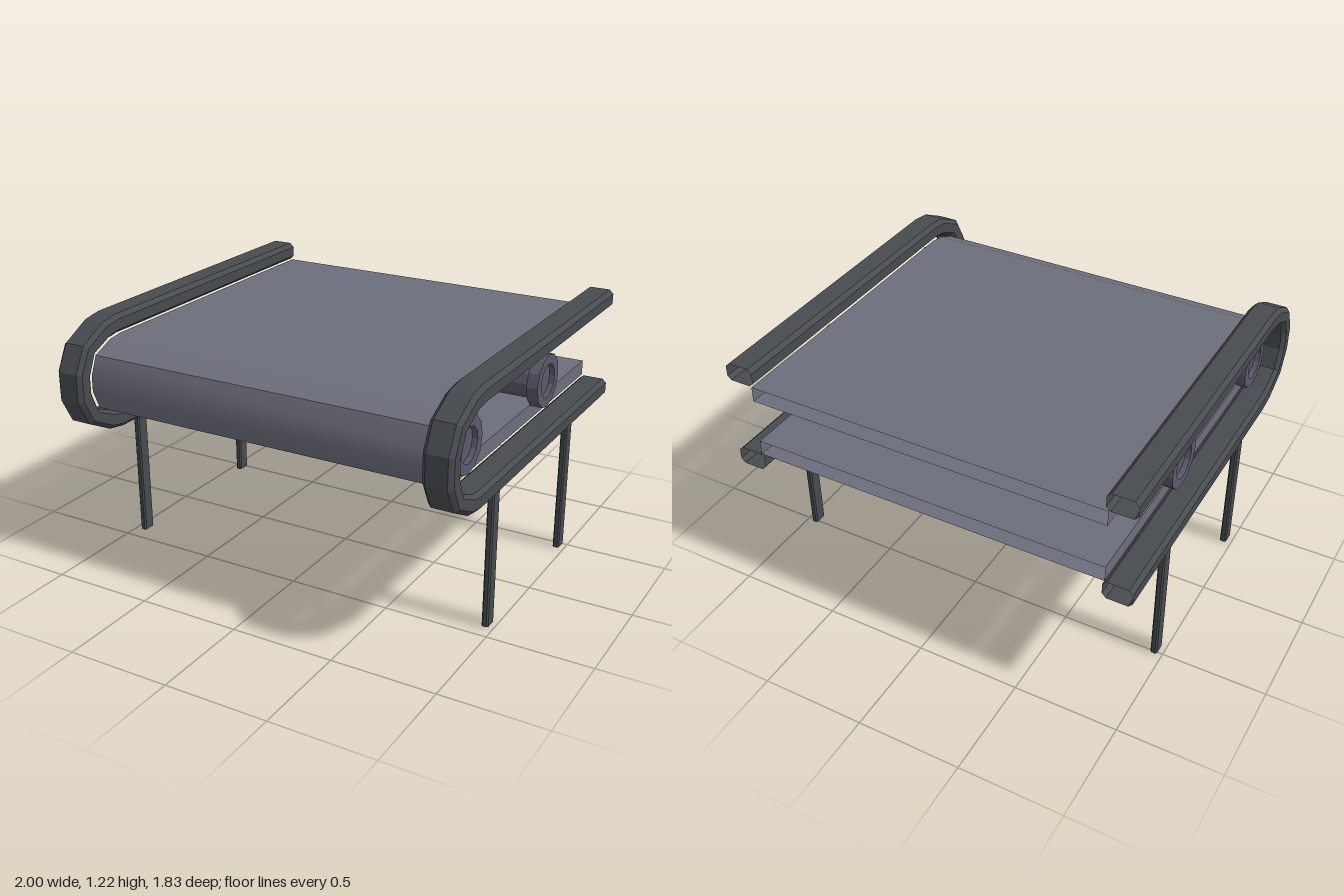
import * as THREE from 'three';
import { toCreasedNormals } from 'three/addons/utils/BufferGeometryUtils.js';

const MID = 0.944; // height of the conveyor's centre line
const BACK = -0.914;

const material = (color, flatShading = false) =>
  new THREE.MeshStandardMaterial({ color, flatShading, side: THREE.DoubleSide });

// Mirror an upper half outline of [z, y] points about the centre line to get a U path
function uPath(half) {
  const upper = [[BACK, half[0][1]], ...half];
  return [...upper, ...upper.map(([z, y]) => [z, 2 * MID - y]).reverse()];
}

// Sweep a closed section of [x, v] between two U paths (v = 0 inner, 1 outer), ends left open
function sweep(innerPath, outerPath, section) {
  const n = section.length, pos = [], index = [];
  outerPath.forEach(([oz, oy], i) => {
    const [iz, iy] = innerPath[i];
    section.forEach(([x, v]) => pos.push(x, iy + (oy - iy) * v, iz + (oz - iz) * v));
  });
  for (let i = 0; i < outerPath.length - 1; i++) {
    for (let j = 0; j < n; j++) {
      const a = i * n + j, b = i * n + (j + 1) % n;
      index.push(a, a + n, b, b, a + n, b + n);
    }
  }
  const g = new THREE.BufferGeometry();
  g.setAttribute('position', new THREE.Float32BufferAttribute(pos, 3));
  g.setIndex(index);
  return toCreasedNormals(g, 0.7);
}

export function createModel() {
  const model = new THREE.Group();
  const frame = material(0x474b4f, true);
  const rubber = material(0x6c6e7b);
  const metal = material(0x585a69, true);

  const add = (name, geometry, mat, x = 0, y = 0, z = 0, parent = model) => {
    const mesh = new THREE.Mesh(geometry, mat);
    mesh.name = name;
    mesh.position.set(x, y, z);
    parent.add(mesh);
    return mesh;
  };

  // Hollow belt wrapping round the front
  const beltOuter = uPath([[0.6, 1.13], [0.675, 1.12], [0.782, 1.073], [0.82, 0.982]]);
  const beltInner = uPath([[0.6, 1.056], [0.655, 1.05], [0.73, 1.018], [0.755, 0.966]]);
  add('belt', sweep(beltInner, beltOuter,
    [[-0.87, 0], [-0.87, 1], [0.87, 1], [0.87, 0]].reverse()), rubber);

  // Chamfered side rails
  const railOuter = uPath([[0.616, 1.223], [0.709, 1.208], [0.851, 1.134], [0.914, 1.014]]);
  const railInner = uPath([[0.616, 1.134], [0.678, 1.125], [0.787, 1.078], [0.826, 0.984]]);
  const c = 0.02, w = 0.07;
  const octagon = [[w, 0.2], [w, 0.77], [w - c, 1], [c - w, 1],
    [-w, 0.77], [-w, 0.2], [c - w, 0], [w - c, 0]];
  const rail = sweep(railInner, railOuter, octagon);

  // Legs with bevelled corners
  const lx = 0.016, lz = 0.034, b = 0.007;
  const legShape = new THREE.Shape([[lx, lz - b], [lx - b, lz], [b - lx, lz], [-lx, lz - b],
    [-lx, b - lz], [b - lx, -lz], [lx - b, -lz], [lx, b - lz]].map(p => new THREE.Vector2(...p)));
  const leg = new THREE.ExtrudeGeometry(legShape, { depth: 0.672, bevelEnabled: false });
  leg.rotateX(-Math.PI / 2);

  for (const [side, s] of [['left', 1], ['right', -1]]) {
    add(side + 'Rail', rail, frame, s * 0.93);
    add(side + 'FrontLeg', leg, frame, s * 0.958, 0, 0.391);
    add(side + 'BackLeg', leg, frame, s * 0.958, 0, -0.479);
  }

  // Rollers: thin barrel, wide end flanges with a recessed face
  const half = [[0, 0.905], [0.083, 0.905], [0.083, 0.93], [0.13, 0.93], [0.13, 0.875], [0.095, 0.875]];
  const profile = [...half.map(([r, x]) => [r, -x]), ...half.slice().reverse()]
    .map(p => new THREE.Vector2(...p));
  const roller = new THREE.LatheGeometry(profile, 12);
  roller.rotateZ(-Math.PI / 2);
  add('frontRoller', roller, metal, 0, MID, 0.606);
  add('backRoller', roller, metal, 0, MID, -0.262);

  return model;
}
